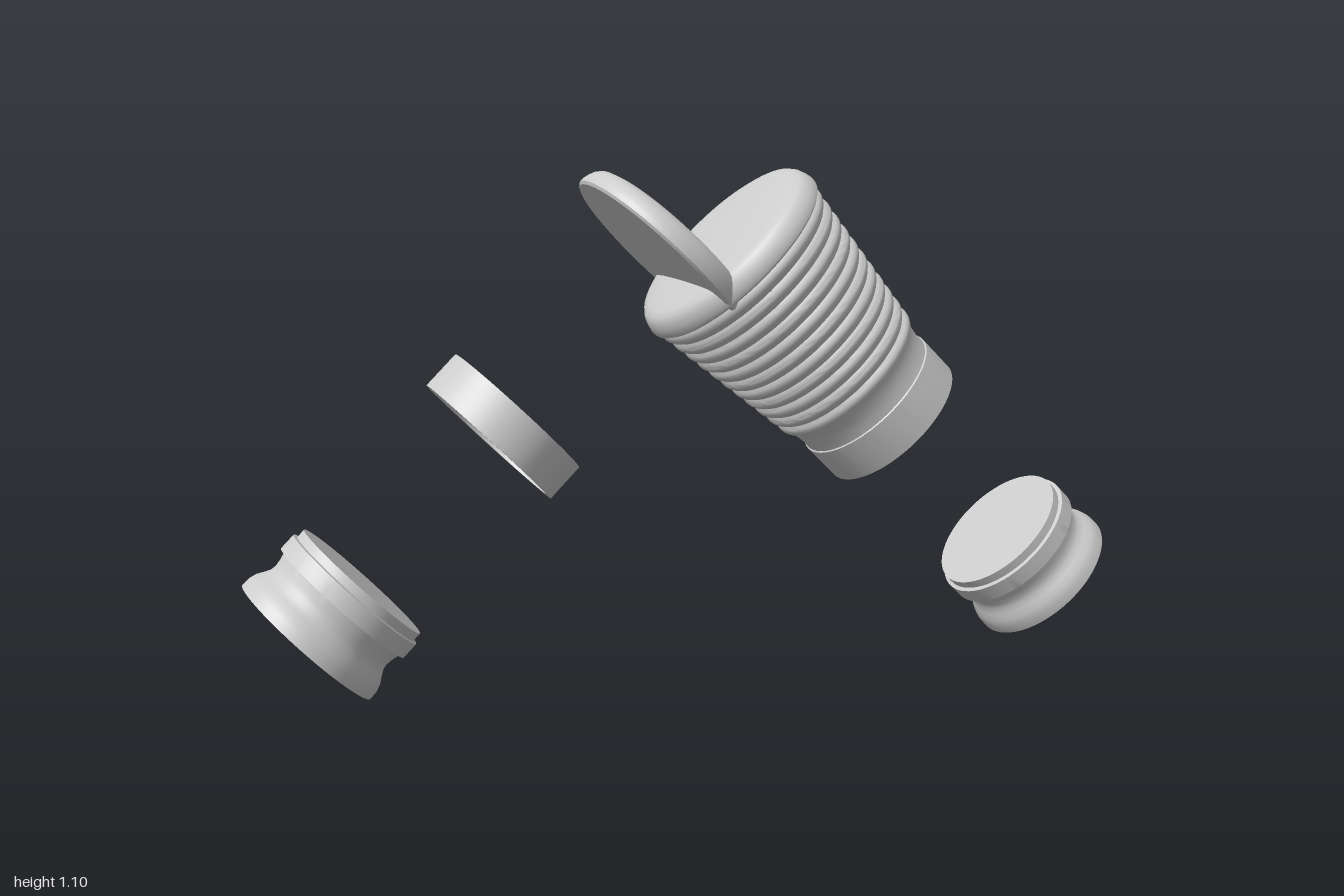
import * as THREE from 'three';
import { toCreasedNormals } from 'three/addons/utils/BufferGeometryUtils.js';

const grey = new THREE.MeshStandardMaterial({ color: 0xcccccc });
grey.name = 'light grey';

// Turns a counter-clockwise [radius, height] profile into a solid with sharp creases.
function turned(name, profile) {
  const points = profile.map(([r, y]) => new THREE.Vector2(r, y));
  const geometry = toCreasedNormals(new THREE.LatheGeometry(points, 72), 0.6);
  const mesh = new THREE.Mesh(geometry, grey);
  mesh.name = name;
  return mesh;
}

// Stands a part at (x, y) with its axis tilted 45 degrees; side 1 leans left, -1 leans right.
function place(mesh, x, y, side) {
  mesh.position.set(x, y, 0);
  mesh.rotation.z = side * Math.PI / 4;
  return mesh;
}

// Scalloped wall: rounded ribs that widen towards the rim.
function ribs(inset) {
  const count = 11, steps = 5, from = 0.155, to = 0.54, points = [];
  for (let i = 0; i <= count * steps; i++) {
    const t = i / (count * steps);
    const k = (i % steps) / steps;
    const bulge = 0.009 * 4 * k * (1 - k);
    points.push([0.183 + 0.045 * t + bulge - inset, from + (to - from) * t]);
  }
  return points;
}

// Rounded rim and slightly domed top, shared by the cup and the flap.
const domedRim = [
  [0.236, 0.54], [0.242, 0.545], [0.243, 0.553], [0.24, 0.565], [0.235, 0.578],
  [0.226, 0.589], [0.21, 0.595], [0.17, 0.599], [0.09, 0.603], [0, 0.604],
];

export function createModel() {
  const model = new THREE.Group();
  model.name = 'ribbedCupSet';

  // Hollow ribbed cup, open at its narrow end
  const cup = turned('ribbedCup', [
    [0, 0.555], [0.214, 0.555],
    ...ribs(0.014).reverse(),
    [0.165, 0.14], [0.163, 0.09], [0.172, 0.09], [0.172, 0],
    [0.18, 0], [0.18, 0.093], [0.177, 0.095], [0.176, 0.115], [0.179, 0.135],
    ...ribs(0),
    ...domedRim,
  ]);
  model.add(place(cup, 0.468, 0.527, 1));

  // Open flap, mirroring the top of the cup
  const flap = turned('hingedFlap', [[0, 0.54], ...domedRim]);
  model.add(place(flap, -0.468, 0.527, -1));

  // Loose collar
  const collar = turned('collarRing', [
    [0.163, 0], [0.179, 0], [0.179, 0.09], [0.163, 0.09], [0.163, 0],
  ]);
  model.add(place(collar, -0.473, 0.532, -1));

  // Pair of end plugs with a waisted neck and stepped lip
  for (const side of [1, -1]) {
    const plug = turned(side > 0 ? 'leftPlug' : 'rightPlug', [
      [0, 0], [0.18, 0], [0.179, 0.02], [0.174, 0.036], [0.165, 0.05], [0.158, 0.063],
      [0.156, 0.075], [0.158, 0.09], [0.163, 0.11], [0.173, 0.11],
      [0.173, 0.148], [0.164, 0.15], [0.164, 0.17], [0, 0.17],
    ]);
    model.add(place(plug, side * 0.871, 0.129, side));
  }

  return model;
}
